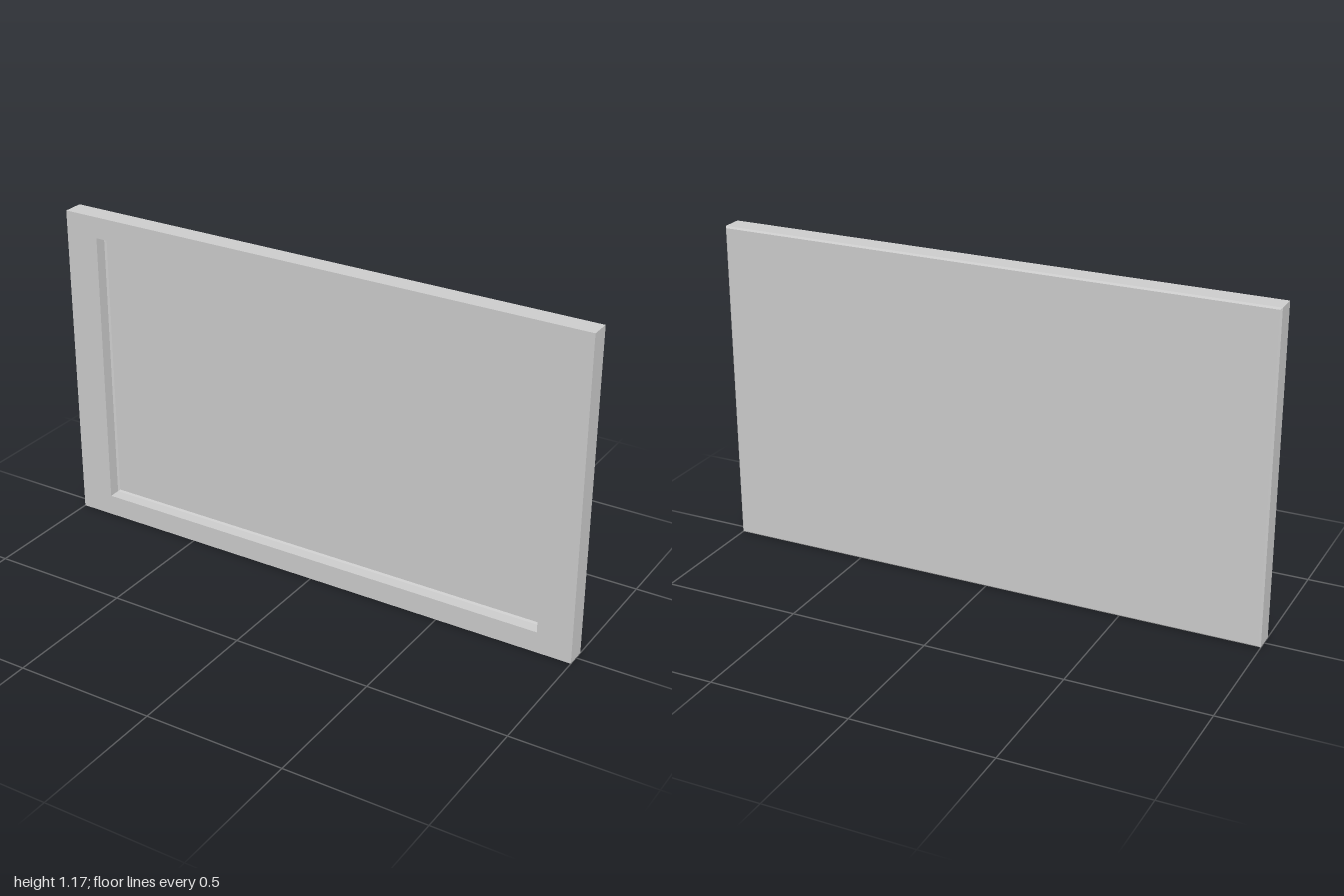
import * as THREE from 'three';

const HEIGHT = 1.175, MID = HEIGHT / 2;
const material = new THREE.MeshStandardMaterial({ color: 0xcccccc, flatShading: true });

// Joins rectangular rings [halfWidth, halfHeight, z] with flat quads
function loftRectangles(rings) {
  const corners = ([w, h, z]) => [[w, -h, z], [w, h, z], [-w, h, z], [-w, -h, z]];
  const positions = [];
  for (let r = 0; r < rings.length - 1; r++) {
    const a = corners(rings[r]), b = corners(rings[r + 1]);
    for (let i = 0; i < 4; i++) {
      const j = (i + 1) % 4;
      positions.push(...a[i], ...b[i], ...b[j], ...a[i], ...b[j], ...a[j]);
    }
  }
  const geometry = new THREE.BufferGeometry();
  geometry.setAttribute('position', new THREE.Float32BufferAttribute(positions, 3));
  geometry.computeVertexNormals();
  return geometry;
}

export function createModel() {
  const group = new THREE.Group();
  group.name = 'framedPanel';

  const add = (name, geometry, z = 0, turn = 0) => {
    const mesh = new THREE.Mesh(geometry, material);
    mesh.name = name;
    mesh.position.set(0, MID, z);
    mesh.rotation.y = turn;
    group.add(mesh);
  };

  // Frame: recess walls, front border, outer sides and narrow back bevel
  const bevel = 0.006, innerW = 0.873, innerH = 0.51, panelZ = -0.008, half = 0.04;
  add('frame', loftRectangles([
    [innerW - bevel, innerH - bevel, panelZ],
    [innerW, innerH, panelZ + bevel],
    [innerW, innerH, half],
    [1, MID, half],
    [1, MID, -half + bevel],
    [1 - bevel, MID - bevel, -half],
  ]));

  // Recessed front panel and flat back panel
  add('frontPanel', new THREE.PlaneGeometry(2 * (innerW - bevel), 2 * (innerH - bevel)), panelZ);
  add('backPanel', new THREE.PlaneGeometry(2 * (1 - bevel), 2 * (MID - bevel)), -half, Math.PI);

  return group;
}
